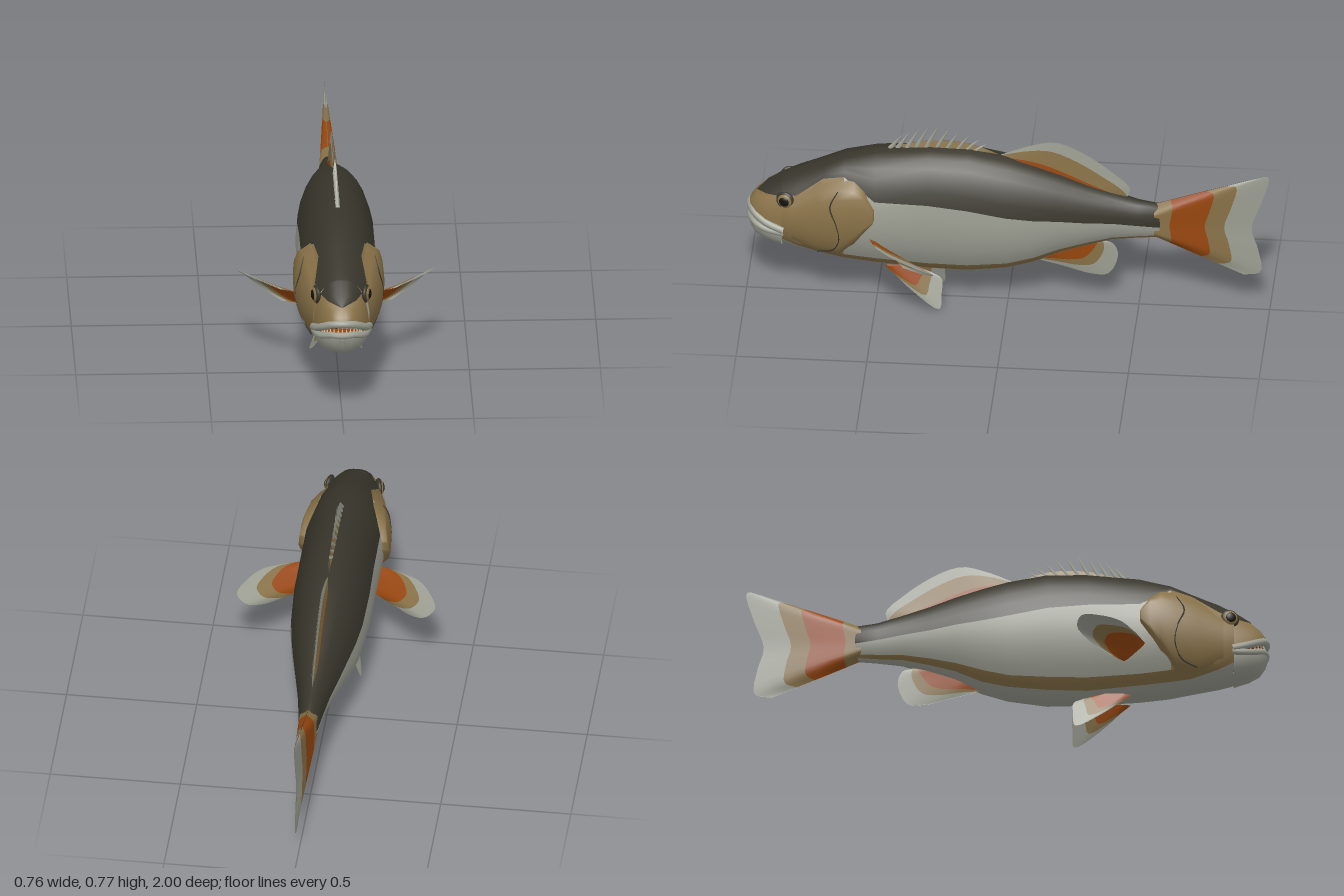
import * as THREE from 'three';

const paint = (name, color) => new THREE.MeshStandardMaterial({ name, color, side: THREE.DoubleSide });
const V = (x, y, z) => new THREE.Vector3(x, y, z);
const lerp = THREE.MathUtils.lerp;

// Body stations: z, top, bottom, half width, then the heights where back, flank, stripe and belly meet
const BODY = [
  [0.86, 0.52, 0.225, 0.108, 0.465, 0.31, 0.28], [0.80, 0.55, 0.21, 0.125, 0.485, 0.27, 0.25],
  [0.70, 0.59, 0.19, 0.145, 0.555, 0.25, 0.215], [0.62, 0.625, 0.172, 0.155, 0.575, 0.235, 0.2],
  [0.50, 0.655, 0.155, 0.152, 0.495, 0.22, 0.185], [0.30, 0.672, 0.14, 0.15, 0.49, 0.205, 0.165],
  [0.15, 0.67, 0.135, 0.15, 0.475, 0.205, 0.165], [0, 0.64, 0.155, 0.14, 0.445, 0.215, 0.18],
  [-0.1, 0.61, 0.185, 0.125, 0.43, 0.24, 0.205], [-0.2, 0.575, 0.232, 0.105, 0.42, 0.275, 0.25],
  [-0.3, 0.535, 0.265, 0.083, 0.405, 0.3, 0.28], [-0.4, 0.5, 0.295, 0.062, 0.395, 0.32, 0.305],
  [-0.5, 0.468, 0.305, 0.046, 0.38, 0.325, 0.312], [-0.58, 0.455, 0.31, 0.036, 0.37, 0.33, 0.318],
  [-0.61, 0.41, 0.36, 0.005, 0.385, 0.37, 0.365],
];
// Jaw stations: z, ridge height, mouth edge height, half width, lower limit of the dark cap
const UPPER = [[0.86, 0.52, 0.325, 0.106, 0.465], [0.92, 0.48, 0.345, 0.092, 0.46], [0.96, 0.445, 0.365, 0.07, 0.46],
  [0.982, 0.415, 0.38, 0.045, 0.46], [0.992, 0.395, 0.385, 0.015, 0.46]];
const LOWER = [[0.86, 0.225, 0.32, 0.104], [0.92, 0.245, 0.325, 0.09], [0.96, 0.265, 0.335, 0.07],
  [0.982, 0.295, 0.345, 0.045], [0.992, 0.325, 0.345, 0.015]];

function stationAt(z) {
  let i = 0;
  while (i < BODY.length - 2 && BODY[i + 1][0] > z) i++;
  const a = BODY[i], b = BODY[i + 1], t = (z - a[0]) / (b[0] - a[0]);
  return a.map((v, k) => lerp(v, b[k], t));
}
function angleAt(s, y) {
  return Math.asin(THREE.MathUtils.clamp((y - (s[1] + s[2]) / 2) / ((s[1] - s[2]) / 2), -1, 1));
}
const widthAt = (z, y) => { const s = stationAt(z); return s[3] * Math.cos(angleAt(s, y)); };

export function createModel() {
  const root = new THREE.Group();
  root.name = 'fish';
  const dark = paint('dark olive back', 0x37352a), grey = paint('pale grey', 0x9c9e92);
  const tan = paint('tan', 0x887147), orange = paint('rust orange', 0x98470f);
  const black = paint('eye black', 0x15130f), ivory = paint('ivory teeth', 0xc4c1b0);

  function add(geo, mat, name, parent = root) {
    const m = new THREE.Mesh(geo, mat);
    m.name = name;
    parent.add(m);
    return m;
  }
  // Skin over rows of points
  function sheet(rows, mat, name, parent) {
    const n = rows[0].length, index = [];
    for (let i = 0; i < rows.length - 1; i++) for (let j = 0; j < n - 1; j++) {
      const a = i * n + j, b = a + n;
      index.push(a, b, a + 1, a + 1, b, b + 1);
    }
    const geo = new THREE.BufferGeometry().setFromPoints(rows.flat());
    geo.setIndex(index);
    geo.computeVertexNormals();
    return add(geo, mat, name, parent);
  }
  const mirror = (rows) => rows.map((r) => r.map((p) => V(-p.x, p.y, p.z)));
  function pair(rows, mat, name) {
    sheet(rows, mat, 'left' + name);
    sheet(mirror(rows), mat, 'right' + name);
  }

  // Body, in lengthwise colour strips
  function strip(stations, hi, lo, n, mat, name) {
    pair(stations.map((s) => {
      const a = angleAt(s, s[hi]), b = angleAt(s, s[lo]);
      return Array.from({ length: n + 1 }, (_, j) => {
        const t = lerp(a, b, j / n);
        return V(s[3] * Math.cos(t), (s[1] + s[2]) / 2 + (s[1] - s[2]) / 2 * Math.sin(t), s[0]);
      });
    }), mat, name);
  }
  strip(BODY, 1, 4, 6, dark, 'Back');
  strip(BODY.slice(0, 4), 4, 5, 6, tan, 'Cheek');
  strip(BODY.slice(3), 4, 5, 6, grey, 'Flank');
  strip(BODY, 5, 6, 2, tan, 'LowerStripe');
  strip(BODY, 6, 2, 4, grey, 'Belly');

  // Jaws, palate and tongue
  function jaw(stations, f0, f1, mat, name) {
    pair(stations.map((s) => {
      const split = s[4] ? Math.asin(Math.min(1, (s[4] - s[2]) / (s[1] - s[2]))) : 0;
      const a = f0 === 1 ? split : 0, b = f1 === 1 ? split : Math.PI / 2;
      return Array.from({ length: 7 }, (_, j) => {
        const t = lerp(a, b, j / 6);
        return V(s[3] * Math.pow(Math.max(0, Math.cos(t)), 0.8), lerp(s[2], s[1], Math.sin(t)), s[0]);
      });
    }), mat, name);
  }
  jaw(UPPER, 0, 1, tan, 'Snout');
  jaw(UPPER, 1, 2, dark, 'Forehead');
  jaw(LOWER, 0, 2, grey, 'LowerJaw');
  [[UPPER, 'palate', 0.015, -1], [LOWER, 'tongue', 0.013, 1]].forEach(([st, name, r, dir]) => {
    sheet(st.map((s) => [V(-s[3], s[2], s[0]), V(0, s[2], s[0]), V(s[3], s[2], s[0])]), orange, name);
    const side = st.map((s) => V(s[3], s[2] - dir * 0.004, s[0] - 0.008));
    const curve = new THREE.CatmullRomCurve3([...side, ...mirror([side])[0].reverse()]);
    add(new THREE.TubeGeometry(curve, 32, r, 8), grey, name === 'palate' ? 'upperLip' : 'lowerLip');
    for (let i = 0; i < 13; i++) {
      const p = curve.getPointAt(lerp(0.22, 0.78, i / 12));
      const tooth = add(new THREE.ConeGeometry(0.005, 0.02, 5), ivory, 'tooth');
      tooth.position.set(p.x * 0.9, p.y + dir * 0.017, p.z - 0.006);
      if (dir < 0) tooth.rotation.z = Math.PI;
    }
  });

  // Gill covers: z, top, bottom, lift from the body
  const gill = [[0.82, 0.46, 0.28, 0.001], [0.72, 0.54, 0.21, 0.008], [0.64, 0.573, 0.215, 0.016], [0.58, 0.562, 0.3, 0.02],
    [0.54, 0.53, 0.36, 0.02], [0.505, 0.47, 0.41, 0.02], [0.5, 0.46, 0.42, -0.004]];
  pair(gill.map(([z, top, bot, lift]) => Array.from({ length: 11 }, (_, j) => {
    const y = lerp(top, bot, j / 10);
    return V(widthAt(z, y) + (j % 10 ? lift : -0.003), y, z);
  })), tan, 'GillCover');

  for (const s of [1, -1]) {
    // Cheek crease
    const crease = [[0.64, 0.53], [0.67, 0.47], [0.645, 0.4], [0.635, 0.33], [0.66, 0.27], [0.72, 0.245]]
      .map(([z, y]) => V(s * (widthAt(z, y) + 0.0135), y, z));
    add(new THREE.TubeGeometry(new THREE.CatmullRomCurve3(crease), 20, 0.003, 5), dark, 'cheekCrease');
    // Eye
    const eye = new THREE.Group();
    eye.name = s > 0 ? 'leftEye' : 'rightEye';
    eye.position.set(s * 0.094, 0.458, 0.845);
    eye.rotation.y = -s * 0.25;
    root.add(eye);
    [[0.036, 0, dark, 'socket'], [0.029, 0.007, tan, 'iris'], [0.021, 0.0125, black, 'pupil']].forEach(([r, x, mat, name]) => {
      const ball = add(new THREE.SphereGeometry(r, 16, 10), mat, name, eye);
      ball.scale.x = 0.4;
      ball.position.x = s * x;
    });
  }

  // Fin: two sheets stretched from a base line to a rim, with colour bands [end, material]
  function fin(name, base, rim, bands, normal, thick) {
    const group = new THREE.Group();
    group.name = name;
    root.add(group);
    const [b, r] = [base, rim].map((c) => new THREE.CatmullRomCurve3(c.map((p) => V(...p)), false, 'centripetal'));
    let from = 0;
    for (const [to, mat] of bands) {
      for (const s of [1, -1]) {
        const rows = Array.from({ length: 21 }, (_, i) => Array.from({ length: 5 }, (_, j) => {
          const u = i / 20, f = lerp(from, to, j / 4);
          const t = thick * (1 - f) * Math.min(1, 6 * u * (1 - u)) + 0.001;
          return b.getPoint(u).lerp(r.getPoint(u), f).addScaledVector(normal, s * t);
        }));
        sheet(rows, mat, 'finBand', group);
      }
      from = to;
    }
  }
  const flat = (pts) => pts.map(([z, y]) => [0, y, z]);
  const X = V(1, 0, 0);

  fin('tailFin', flat([[-0.56, 0.455], [-0.56, 0.42], [-0.56, 0.38], [-0.56, 0.345], [-0.56, 0.31]]),
    flat([[-0.94, 0.585], [-0.995, 0.595], [-0.965, 0.47], [-0.93, 0.365], [-0.955, 0.27], [-0.965, 0.17], [-0.9, 0.155]]),
    [[0.16, tan], [0.52, orange], [0.72, tan], [1, grey]], X, 0.034);
  fin('softDorsalFin', flat([[0.05, 0.635], [-0.05, 0.615], [-0.15, 0.58], [-0.25, 0.54], [-0.35, 0.505], [-0.45, 0.47]]),
    flat([[0.03, 0.645], [-0.08, 0.69], [-0.18, 0.71], [-0.29, 0.665], [-0.4, 0.585], [-0.465, 0.52], [-0.46, 0.49]]),
    [[0.2, orange], [0.68, tan], [1, grey]], X, 0.012);
  fin('analFin', flat([[-0.1, 0.2], [-0.18, 0.24], [-0.26, 0.265], [-0.34, 0.29]]),
    flat([[-0.13, 0.18], [-0.21, 0.16], [-0.32, 0.13], [-0.385, 0.135], [-0.42, 0.22], [-0.4, 0.27], [-0.37, 0.28]]),
    [[0.42, orange], [0.65, tan], [1, grey]], X, 0.012);

  // Spiny dorsal fin with its low membrane
  fin('spineMembrane', flat([[0.45, 0.655], [0.3, 0.665], [0.15, 0.66], [0.03, 0.625]]),
    flat([[0.44, 0.665], [0.3, 0.695], [0.15, 0.69], [0.03, 0.645]]), [[1, tan]], X, 0.008);
  [[0.4, 0.72], [0.37, 0.738], [0.335, 0.752], [0.3, 0.764], [0.262, 0.768], [0.222, 0.757], [0.183, 0.745], [0.143, 0.73],
    [0.108, 0.71], [0.08, 0.69]].forEach(([z, y]) => {
    const foot = V(0, stationAt(z + 0.05)[1] - 0.01, z + 0.055), tip = V(0, y, z), dir = tip.clone().sub(foot);
    const spine = add(new THREE.ConeGeometry(0.011, dir.length(), 6), grey, 'dorsalSpine');
    spine.position.copy(foot).lerp(tip, 0.5);
    spine.quaternion.setFromUnitVectors(V(0, 1, 0), dir.normalize());
  });

  // Paired fins
  for (const s of [1, -1]) {
    const side = s > 0 ? 'left' : 'right';
    const splay = (pts) => pts.map(([z, y]) => [s * (0.045 + (0.155 - y) * 0.36), y, z]);
    fin(side + 'PelvicFin', splay([[0.47, 0.155], [0.43, 0.157], [0.39, 0.158], [0.34, 0.155]]),
      splay([[0.43, 0.125], [0.36, 0.065], [0.255, 0.002], [0.248, 0.06], [0.25, 0.115], [0.29, 0.137]]),
      [[0.45, orange], [0.68, tan], [1, grey]], V(s * 0.94, 0.34, 0), 0.007);
    const flip = (pts) => pts.map(([x, y, z]) => [s * x, y, z]);
    fin(side + 'PectoralFin', flip([[0.145, 0.33, 0.52], [0.14, 0.295, 0.48], [0.13, 0.26, 0.44]]),
      flip([[0.22, 0.337, 0.485], [0.3, 0.35, 0.425], [0.355, 0.347, 0.345], [0.38, 0.335, 0.275], [0.345, 0.305, 0.258],
        [0.28, 0.27, 0.31], [0.21, 0.25, 0.385]]),
      [[0.5, orange], [0.72, tan], [1, grey]], V(-s * 0.45, 0.75, -0.48), 0.006);
  }
  return root;
}
